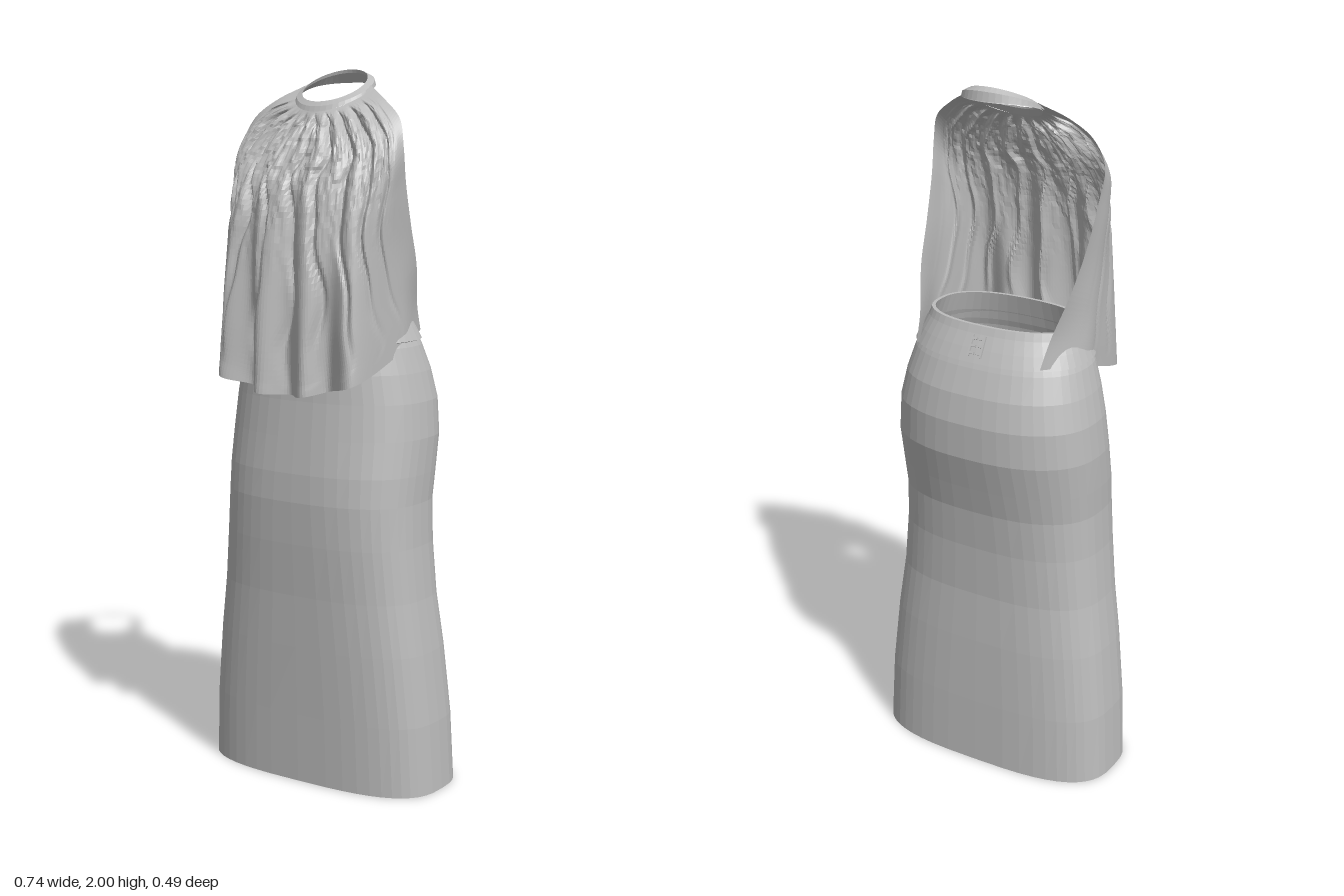
import * as THREE from 'three';

const V = (x, y, z) => new THREE.Vector3(x, y, z);
const TAU = Math.PI * 2;
const smooth = THREE.MathUtils.smoothstep;

// Surface through rows of points, point(i, j) with i across and j along
function loft(cols, rows, point) {
  const pos = [], index = [];
  for (let j = 0; j <= rows; j++)
    for (let i = 0; i <= cols; i++) pos.push(...point(i, j).toArray());
  for (let j = 0; j < rows; j++)
    for (let i = 0; i < cols; i++) {
      const a = j * (cols + 1) + i, b = a + cols + 1;
      index.push(a, a + 1, b + 1, a, b + 1, b);
    }
  const g = new THREE.BufferGeometry();
  g.setAttribute('position', new THREE.Float32BufferAttribute(pos, 3));
  g.setIndex(index);
  g.computeVertexNormals();
  return g;
}

// Rounded-box ring: [y, half width, front z, back z, roundness exponent]
function ringPoint([y, w, front, back, n], k) {
  const a = k * TAU, s = Math.sin(a), c = Math.cos(a);
  const p = v => Math.sign(v) * Math.abs(v) ** (2 / n);
  return V(w * p(s), y, (front + back) / 2 + (front - back) / 2 * p(c));
}
const ringLoft = (sections, sides) =>
  loft(sides, sections.length - 1, (i, j) => ringPoint(sections[j], i / sides));
const inset = (s, d) => [s[0], s[1] - d, s[2] - d, s[3] + d, s[4]];

// Repeatable noise in -1..1
function noise(i, j) {
  const s = Math.sin(i * 127.1 + j * 311.7) * 43758.5453;
  return (s - Math.floor(s)) * 2 - 1;
}

export function createModel() {
  const group = new THREE.Group();
  const cloth = new THREE.MeshStandardMaterial({ color: 0xbcbcbc, side: THREE.DoubleSide, flatShading: true });
  cloth.name = 'greyCloth';
  const add = (name, geometry, parent = group) => {
    const m = new THREE.Mesh(geometry, cloth);
    m.name = name;
    parent.add(m);
    return m;
  };

  // Long skirt: outer cloth, folded over the hem to a thin lining
  const skirt = [
    [0, 0.37, 0.15, -0.212, 3], [0.2, 0.36, 0.155, -0.207, 3],
    [0.4, 0.34, 0.162, -0.2, 2.9], [0.55, 0.32, 0.167, -0.192, 2.8],
    [0.7, 0.307, 0.176, -0.196, 2.7], [0.82, 0.302, 0.18, -0.207, 2.6],
    [0.9, 0.305, 0.176, -0.225, 2.5], [1.0, 0.306, 0.164, -0.249, 2.4],
    [1.1, 0.297, 0.152, -0.249, 2.4], [1.18, 0.28, 0.146, -0.232, 2.4],
    [1.25, 0.26, 0.135, -0.203, 2.4], [1.3, 0.238, 0.118, -0.178, 2.4],
  ];
  const lining = skirt.map(s => inset(s, 0.01)).reverse();
  add('skirt', ringLoft([...lining, ...skirt], 48));

  // Waistband with a turned-in upper rim
  const band = [
    [1.262, 0.25, 0.13, -0.192, 2.4], [1.266, 0.26, 0.138, -0.202, 2.4],
    [1.3, 0.245, 0.125, -0.183, 2.4], [1.335, 0.228, 0.112, -0.162, 2.4],
    [1.355, 0.222, 0.106, -0.152, 2.4], [1.355, 0.212, 0.096, -0.142, 2.4],
    [1.27, 0.24, 0.115, -0.18, 2.4],
  ];
  add('waistband', ringLoft(band, 48));

  // Hook fastening on the back of the waistband
  const clasp = new THREE.Group();
  clasp.name = 'backClasp';
  clasp.position.set(0, 1.308, -0.182);
  clasp.rotation.x = 0.53;
  for (const side of [-1, 1]) {
    add('claspPlate', new THREE.BoxGeometry(0.006, 0.06, 0.006), clasp).position.x = side * 0.019;
    for (const y of [-0.02, 0, 0.02])
      add('claspHook', new THREE.BoxGeometry(0.014, 0.006, 0.007), clasp).position.set(side * 0.01, y, 0);
  }
  group.add(clasp);

  // Blouse guide lines from collar to hem: open edge, side, front quarter, centre
  const guide = pts => new THREE.CatmullRomCurve3(pts.map(p => V(...p)));
  const guides = [
    guide([[0.108, 1.955, -0.05], [0.18, 1.915, -0.012], [0.24, 1.865, 0.01], [0.265, 1.79, 0.03], [0.26, 1.7, 0.01],
      [0.25, 1.58, -0.035], [0.235, 1.47, -0.09], [0.205, 1.35, -0.145], [0.195, 1.278, -0.18]]),
    guide([[0.095, 1.92, 0], [0.17, 1.885, 0.03], [0.225, 1.82, 0.06], [0.25, 1.74, 0.09], [0.248, 1.64, 0.1],
      [0.243, 1.52, 0.09], [0.248, 1.4, 0.06], [0.256, 1.3, 0.03], [0.258, 1.238, 0.02]]),
    guide([[0.06, 1.895, 0.04], [0.1, 1.85, 0.075], [0.14, 1.775, 0.115], [0.16, 1.7, 0.15], [0.17, 1.59, 0.178],
      [0.18, 1.46, 0.19], [0.19, 1.32, 0.195], [0.205, 1.21, 0.19], [0.21, 1.165, 0.19]]),
    guide([[0, 1.885, 0.06], [0, 1.84, 0.09], [0, 1.765, 0.135], [0, 1.69, 0.172], [0, 1.57, 0.195],
      [0, 1.42, 0.208], [0, 1.27, 0.212], [0, 1.15, 0.212], [0, 1.122, 0.212]]),
  ];
  const cols = 180, rows = 64;
  const rowCurves = Array.from({ length: rows + 1 }, (_, j) => {
    const half = guides.map(g => g.getPoint(j / rows));
    const other = half.slice(0, 3).reverse().map(p => V(-p.x, p.y, p.z));
    return new THREE.CatmullRomCurve3([...half, ...other], false, 'catmullrom', 0.5);
  });

  // Hanging folds below, tight gathers and creases under the collar
  add('blouse', loft(cols, rows, (i, j) => {
    const t = j / rows, u = i / cols * 2 - 1;
    const p = rowCurves[j].getPoint(i / cols);
    const keep = 1 - smooth(Math.abs(u), 0.55, 0.85);
    const fold = Math.cos((p.x + 0.2) / 0.135 * TAU) * 0.028 * smooth(t, 0.1, 1);
    const upper = smooth(t, 0.01, 0.12) * (1 - smooth(t, 0.25, 0.7));
    const gather = Math.sin(u * 44 + Math.sin(t * 9) * 1.2) * 0.006 + noise(i >> 1, j >> 1) * 0.003;
    const wobble = Math.sin(t * 13 + u * 5) * 0.5 + Math.sin(t * 31) * 0.2;
    const crease = -0.014 * Math.abs(Math.cos(u * 19 + wobble)) ** 14 * smooth(t, 0.01, 0.1) * (1 - smooth(t, 0.6, 0.95));
    const out = V(p.x * 2.5, 0, 1).normalize();
    return p.addScaledVector(out, keep * (fold + gather * upper + crease));
  }));

  // Halter collar: a tilted band, high behind the neck
  const collarRows = [
    // centre z, half width, half depth, mean y, rise to the back, side lift
    [-0.04, 0.113, 0.106, 1.925, 0.041, 0.014],
    [-0.04, 0.11, 0.1, 1.944, 0.046, 0.004],
    [-0.037, 0.092, 0.085, 1.955, 0.044, 0],
    [-0.038, 0.095, 0.086, 1.948, 0.042, 0],
    [-0.04, 0.107, 0.102, 1.923, 0.04, 0.014],
  ];
  add('collar', loft(40, 4, (i, j) => {
    const [zc, w, d, y, rise, lift] = collarRows[j];
    const a = i / 40 * TAU, c = Math.cos(a), s = Math.sin(a);
    return V(w * s, y - rise * c + lift * s * s, zc + d * c);
  }));

  return group;
}
